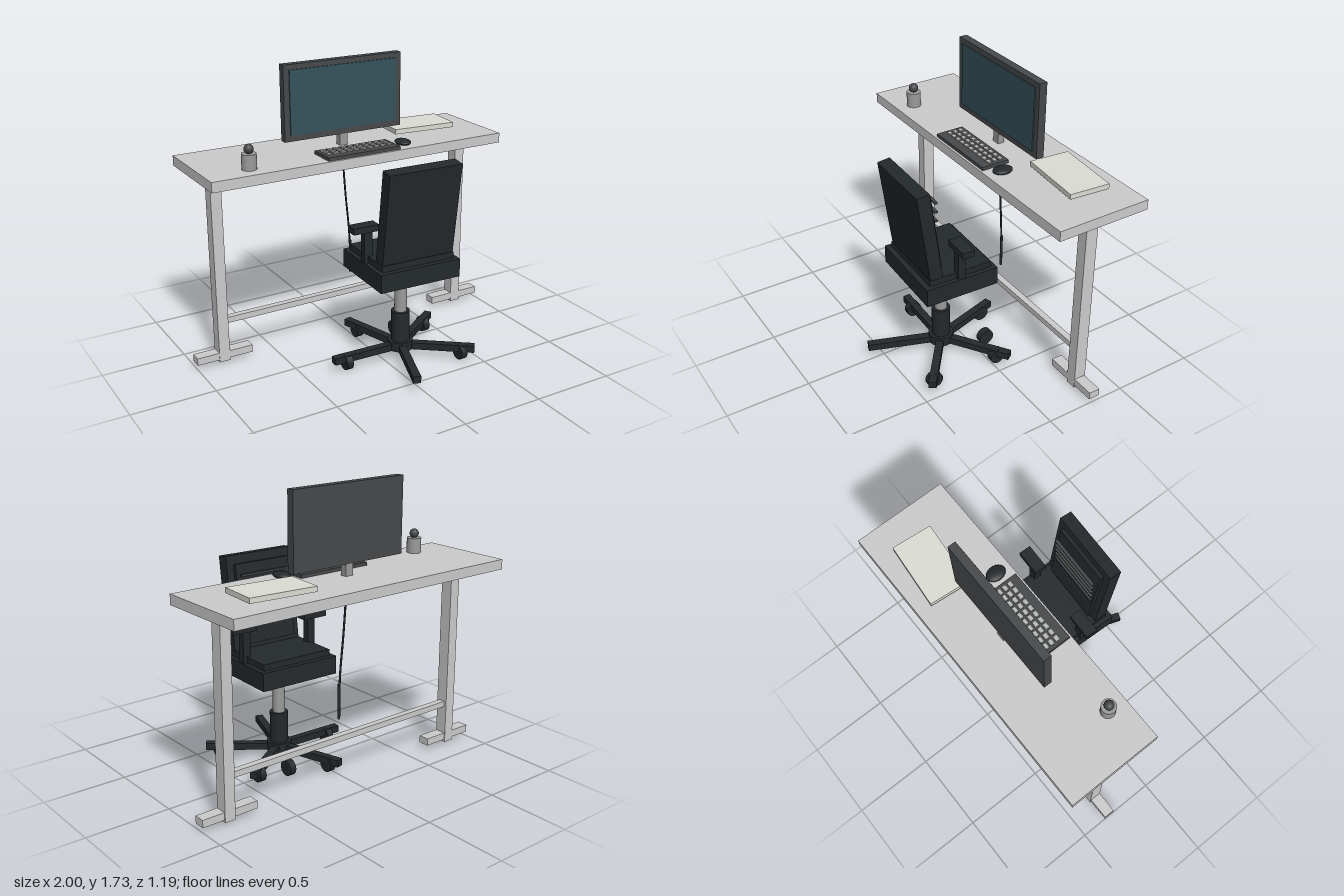
import * as THREE from 'three';

const mat = (color) => new THREE.MeshStandardMaterial({ color });
const GREY = mat(0xcccccc), DARK = mat(0x24292c), FRAME = mat(0x46484a), SCREEN = mat(0x35525c);
const STEEL = mat(0x9a9c9a), PAPER = mat(0xdcddd4), KEY = mat(0xb8bab8);

function add(parent, name, geometry, material, x, y, z) {
  const mesh = new THREE.Mesh(geometry, material);
  mesh.name = name;
  mesh.position.set(x, y, z);
  parent.add(mesh);
  return mesh;
}
const box = (p, name, m, w, h, d, x, y, z) => add(p, name, new THREE.BoxGeometry(w, h, d), m, x, y, z);
// Upright cylinder given by its bottom and top heights
const post = (p, name, m, r, y0, y1, x, z) =>
  add(p, name, new THREE.CylinderGeometry(r, r, y1 - y0, 32), m, x, (y0 + y1) / 2, z);

function group(parent, name, x = 0, y = 0, z = 0) {
  const g = new THREE.Group();
  g.name = name;
  g.position.set(x, y, z);
  parent.add(g);
  return g;
}

function buildDesk(root) {
  const desk = group(root, 'desk');
  box(desk, 'tabletop', GREY, 1.9, 0.06, 0.575, 0, 1.195, -0.31);
  for (const s of [-1, 1]) {
    box(desk, 'deskLeg', GREY, 0.066, 1.145, 0.075, s * 0.83, 0.593, -0.308);
    box(desk, 'deskFoot', GREY, 0.35, 0.045, 0.068, s * 0.825, 0.058, -0.306);
  }
  box(desk, 'crossbar', GREY, 1.6, 0.036, 0.04, 0, 0.272, -0.308);

  // Cable hanging from the underside, with a thicker end
  const path = new THREE.CatmullRomCurve3([
    new THREE.Vector3(0, 1.17, -0.31), new THREE.Vector3(0.02, 0.9, -0.31),
    new THREE.Vector3(0.043, 0.65, -0.31), new THREE.Vector3(0.05, 0.4, -0.31)]);
  add(desk, 'cable', new THREE.TubeGeometry(path, 24, 0.006, 8), DARK, 0, 0, 0);
  post(desk, 'cableEnd', DARK, 0.008, 0.39, 0.6, 0.049, -0.31);
}

function buildDeskItems(root) {
  const monitor = group(root, 'monitor');
  box(monitor, 'monitorCase', FRAME, 0.775, 0.447, 0.048, 0, 1.518, -0.308);
  box(monitor, 'screen', SCREEN, 0.705, 0.38, 0.01, 0, 1.52, -0.282);
  box(monitor, 'monitorStand', STEEL, 0.05, 0.08, 0.042, -0.003, 1.26, -0.306);

  const keyboard = group(root, 'keyboard', -0.002, 0, -0.122);
  box(keyboard, 'keyboardBase', FRAME, 0.475, 0.02, 0.172, 0, 1.235, 0);
  for (let row = -1; row <= 1; row++)
    for (let i = 0; i < 10; i++)
      box(keyboard, 'key', KEY, 0.031, 0.008, 0.022, (i - 4.5) * 0.0445, 1.248, row * 0.037 - 0.015);

  // Mouse: a flattened half dome
  const mouse = add(root, 'mouse', new THREE.SphereGeometry(1, 32, 16), DARK, 0.305, 1.24, -0.12);
  mouse.scale.set(0.045, 0.018, 0.06);

  const papers = box(root, 'paperStack', PAPER, 0.403, 0.03, 0.243, 0.562, 1.256, -0.375);
  papers.rotation.y = -0.085;

  const cup = group(root, 'cup', -0.68, 0, -0.137);
  post(cup, 'cupBody', STEEL, 0.043, 1.225, 1.315, 0, 0);
  add(cup, 'cupKnob', new THREE.SphereGeometry(0.028, 24, 16), FRAME, 0, 1.34, 0);
}

function buildChair(root) {
  const chair = group(root, 'chair', 0.117, 0, 0.168);

  // Five-armed base and gas column
  post(chair, 'baseCollar', DARK, 0.075, 0.06, 0.117, 0, 0);
  post(chair, 'columnSleeve', DARK, 0.055, 0.09, 0.305, 0, 0);
  post(chair, 'column', STEEL, 0.037, 0.3, 0.52, 0, 0);
  post(chair, 'seatMount', DARK, 0.1, 0.51, 0.56, 0, 0);
  for (let i = 0; i < 5; i++) {
    const a = THREE.MathUtils.degToRad(38 + 72 * i);
    const arm = box(chair, 'baseArm', DARK, 0.44, 0.042, 0.046, Math.cos(a) * 0.225, 0.08, Math.sin(a) * 0.225);
    arm.rotation.y = -a;
    // One wheel sits inward, away from its arm
    const [x, z] = i === 1 ? [0.115, -0.243] : [Math.cos(a) * 0.36, Math.sin(a) * 0.36];
    const wheel = add(chair, 'casterWheel', new THREE.CylinderGeometry(0.048, 0.048, 0.04, 24), DARK, x, 0.055, z);
    wheel.rotation.z = Math.PI / 2;
  }

  // Seat, slightly swivelled on the column
  const upper = group(chair, 'swivelSeat');
  upper.rotation.y = -0.04;
  box(upper, 'seat', DARK, 0.517, 0.11, 0.455, 0, 0.61, 0);
  box(upper, 'seatPad', DARK, 0.465, 0.04, 0.39, 0, 0.682, 0);

  // Leaning backrest with its pad and slats
  const back = group(upper, 'backrest', 0, 0.962, 0.187);
  back.rotation.x = 0.135;
  box(back, 'backShell', DARK, 0.46, 0.585, 0.077, 0, 0, 0);
  box(back, 'backPad', DARK, 0.37, 0.48, 0.03, 0, 0, -0.047);
  for (let i = 0; i < 8; i++)
    box(upper, 'backSlat', FRAME, 0.345, 0.012, 0.018, 0, 0.757 + i * 0.056, 0.118);

  // Armrests
  for (const s of [-1, 1]) {
    box(upper, 'armPost', DARK, 0.05, 0.22, 0.045, s * 0.23, 0.755, 0.005);
    box(upper, 'armPad', DARK, 0.16, 0.038, 0.075, s * 0.25, 0.871, 0.005);
  }
}

export function createModel() {
  const root = new THREE.Group();
  root.name = 'workstation';
  buildDesk(root);
  buildDeskItems(root);
  buildChair(root);
  return root;
}
